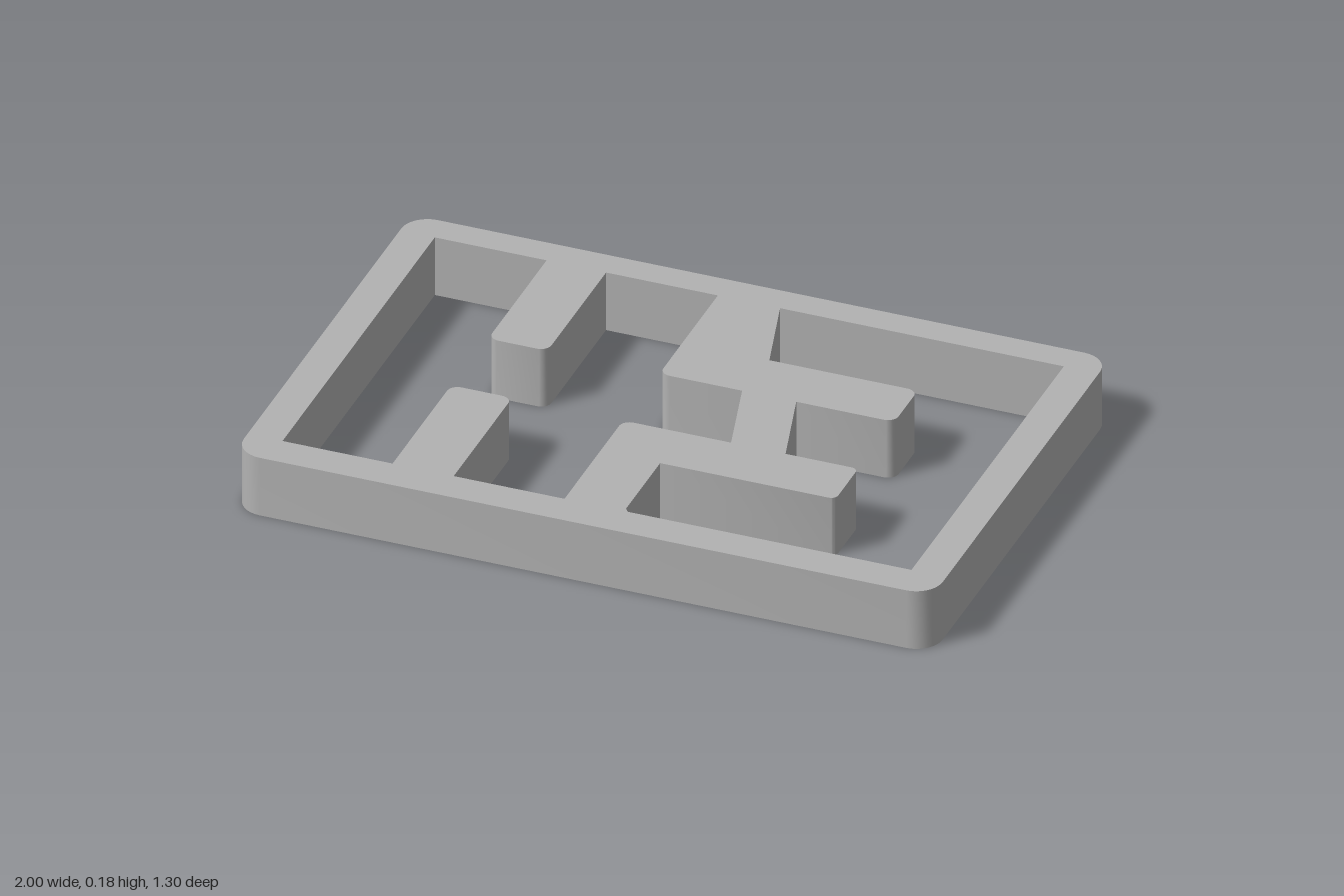
import * as THREE from 'three';
import { toCreasedNormals } from 'three/addons/utils/BufferGeometryUtils.js';

const HEIGHT = 0.18;

// Closed outline through corners [x, z, radius]; a missing radius means a sharp corner.
function outline(path, corners) {
  const pts = corners.map(([x, z]) => new THREE.Vector2(x, -z));
  const n = pts.length;
  const points = [];
  corners.forEach(([, , r = 0], i) => {
    const p = pts[i];
    if (!r) {
      points.push(p);
      return;
    }
    const toward = (q) => q.clone().sub(p).normalize().multiplyScalar(r).add(p);
    const a = toward(pts[(i + n - 1) % n]);
    const b = toward(pts[(i + 1) % n]);
    // Circular arc tangent to both sides of a right-angled corner
    const centre = a.clone().add(b).sub(p);
    const steps = 8;
    for (let k = 0; k <= steps; k++) {
      const t = (k / steps) * Math.PI / 2;
      points.push(centre.clone()
        .addScaledVector(a.clone().sub(centre), Math.cos(t))
        .addScaledVector(b.clone().sub(centre), Math.sin(t)));
    }
  });
  path.setFromPoints(points);
  return path;
}

export function createModel() {
  const model = new THREE.Group();
  model.name = 'openFramePlate';
  const grey = new THREE.MeshStandardMaterial({ color: 0xb2b2b2 });
  grey.name = 'grey';

  // Rounded outer rim
  const shape = outline(new THREE.Shape(), [
    [-1, 0.65, 0.075], [1, 0.65, 0.075], [1, -0.65, 0.075], [-1, -0.65, 0.075],
  ]);

  // Left opening, leaving two short fingers and the left side of the central bars
  const r = 0.03;
  shape.holes.push(outline(new THREE.Path(), [
    [-0.9, -0.565], [-0.58, -0.565], [-0.58, -0.137, r], [-0.41, -0.137, r], [-0.41, -0.565],
    [-0.09, -0.565], [-0.09, -0.137, r], [0.147, -0.137], [0.216, 0.12], [-0.093, 0.12, r],
    [-0.093, 0.548], [-0.41, 0.548], [-0.41, 0.12, r], [-0.585, 0.12, r], [-0.585, 0.548],
    [-0.9, 0.548],
  ]));

  // Right opening, leaving two arms joined by a slanted link
  shape.holes.push(outline(new THREE.Path(), [
    [0.088, -0.565], [0.158, -0.308], [0.583, -0.308, r], [0.583, -0.137, r], [0.302, -0.137],
    [0.372, 0.12], [0.58, 0.12, 0.02], [0.58, 0.286, 0.02], [0.078, 0.286], [0.078, 0.535],
    [0.088, 0.548], [0.9, 0.548], [0.9, -0.565],
  ]));

  const geometry = new THREE.ExtrudeGeometry(shape, { depth: HEIGHT, bevelEnabled: false });
  geometry.rotateX(-Math.PI / 2);
  const plate = new THREE.Mesh(toCreasedNormals(geometry, Math.PI / 6), grey);
  plate.name = 'framePlate';
  model.add(plate);
  return model;
}
